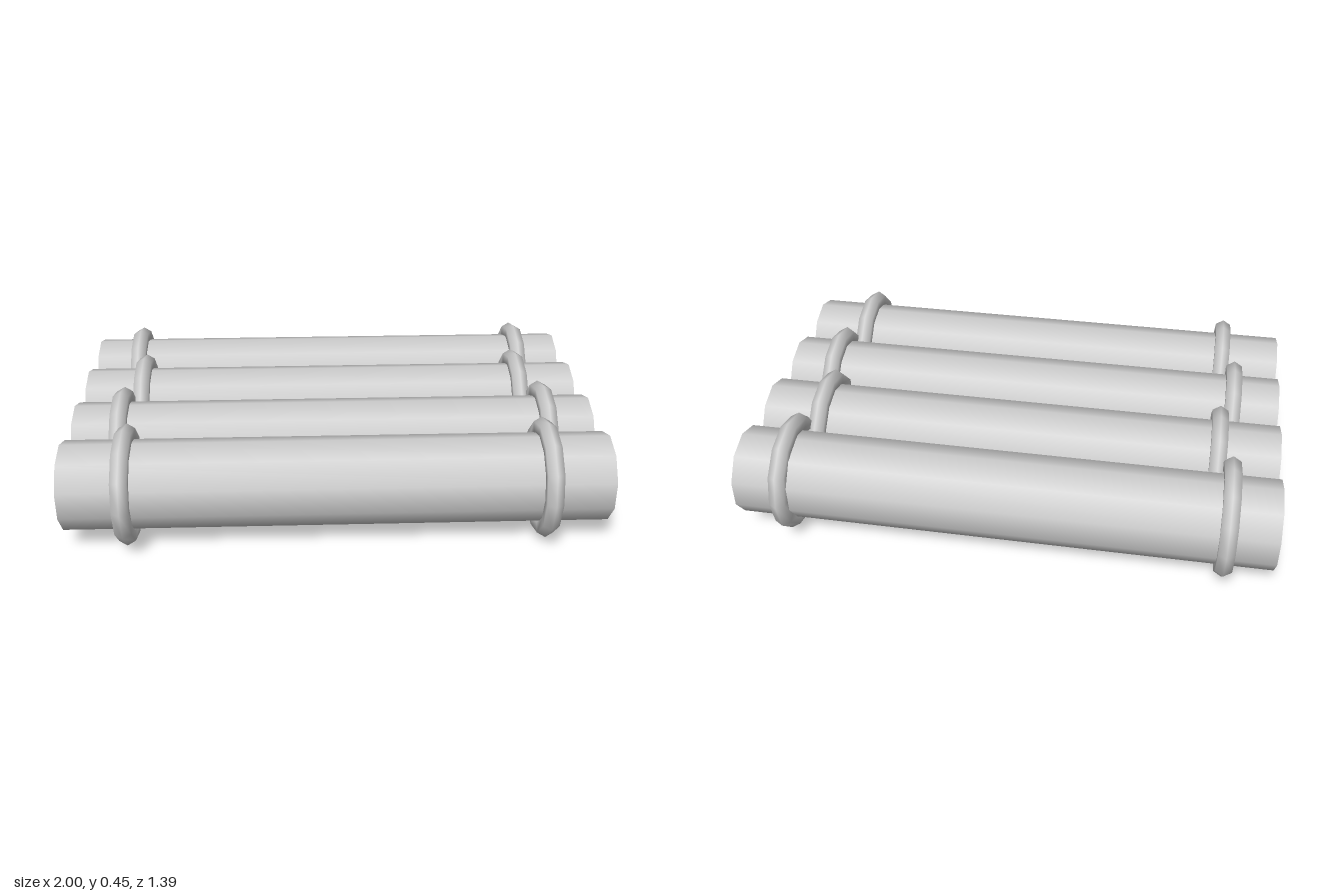
import * as THREE from 'three';

export function createModel() {
  const group = new THREE.Group();
  const material = new THREE.MeshStandardMaterial({ color: 0xcccccc });

  // Ten-sided log lying along x, with a corner at the top
  const logGeometry = new THREE.CylinderGeometry(0.165, 0.165, 2, 10, 1, false, Math.PI / 2);
  logGeometry.rotateZ(Math.PI / 2);

  // Rope ring around a log
  const ringGeometry = new THREE.TorusGeometry(0.189, 0.035, 6, 12);
  ringGeometry.rotateY(Math.PI / 2);

  const add = (name, geometry, x, y, z) => {
    const mesh = new THREE.Mesh(geometry, material);
    mesh.name = name;
    mesh.position.set(x, y, z);
    group.add(mesh);
  };

  // Four logs side by side, their rings staggered so that neighbours interlock
  const rows = [
    { logZ: 0.472, ringZ: 0.472, ringX: 0.77 },
    { logZ: 0.154, ringZ: 0.154, ringX: 0.82 },
    { logZ: -0.168, ringZ: -0.166, ringX: 0.77 },
    { logZ: -0.49, ringZ: -0.472, ringX: 0.82 },
  ];
  rows.forEach(({ logZ, ringZ, ringX }, i) => {
    add(`log${i + 1}`, logGeometry, 0, 0.228, logZ);
    add(`leftRopeRing${i + 1}`, ringGeometry, ringX, 0.225, ringZ);
    add(`rightRopeRing${i + 1}`, ringGeometry, -ringX, 0.225, ringZ);
  });

  return group;
}
